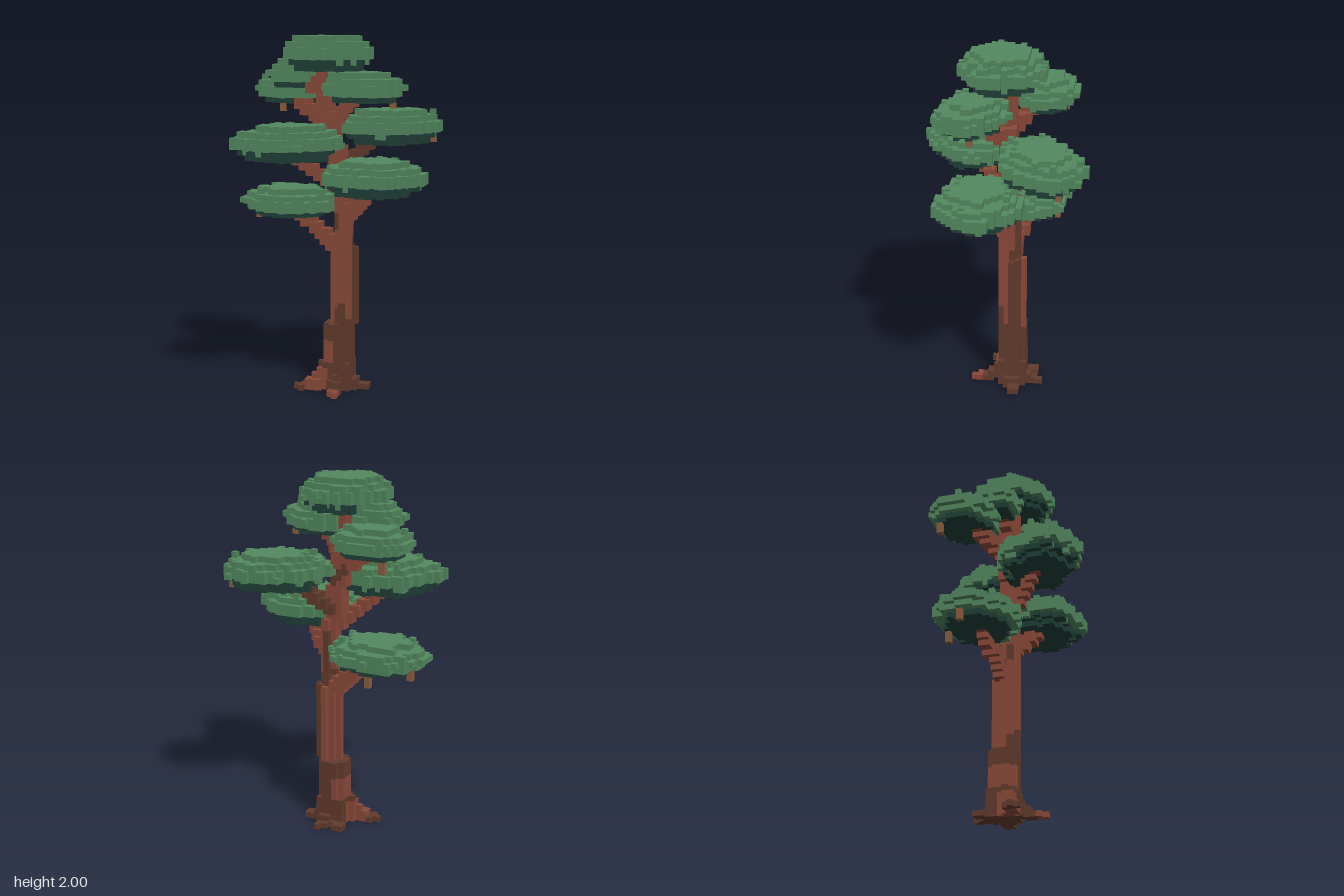
import * as THREE from 'three';

const V = 2 / 63; // size of one block
const material = (name, color) => Object.assign(new THREE.MeshStandardMaterial({ color }), { name });
const LEAF = 0, SHADE = 1, BARK = 2, DARK = 3, CONE = 4;

// Repeatable noise in 0..1 for a block position
function hash(i, j, k) {
  const s = Math.sin(i * 127.1 + j * 311.7 + k * 74.7) * 43758.5453;
  return s - Math.floor(s);
}

// Bark is dark at the foot and down one corner, with soft patches elsewhere
function barkColour(i, j, k) {
  if (j < 12) {
    const redFoot = j < 4 && i < 0 && i > -5 && k > -3;
    const redPatch = j > 4 && j < 9 && i < 1;
    return redFoot || redPatch || k > 3 ? BARK : DARK;
  }
  if (j < 15 && i <= 2 && k > -2) return DARK;
  if (j < 26 && i >= 3 && k <= -2) return DARK;
  if (j < 36 && i >= 2 && k === -3) return DARK;
  const patch = Math.sin(i * 0.9 + j * 0.45) + Math.sin(k * 1.1 - j * 0.33);
  return patch > 1.7 ? DARK : BARK;
}

export function createModel() {
  const tree = new THREE.Group();
  tree.name = 'tree';
  const materials = [
    material('leaf green', 0x53895f), material('leaf underside', 0x1f3f37),
    material('red bark', 0x8b4a3a), material('dark bark', 0x623b2c), material('cone brown', 0x8a5f40),
  ];
  const taken = new Set();
  const parts = [];
  const key = (i, j, k) => `${i},${j},${k}`;

  function part(name) {
    const cells = [];
    parts.push({ name, cells });
    return (i, j, k, colour) => {
      if (j < 0 || j > 62 || taken.has(key(i, j, k))) return;
      taken.add(key(i, j, k));
      cells.push([i, j, k, colour]);
    };
  }

  // Trunk: stacked round sections [first row, end row, centre x, centre z, radius]
  const trunk = part('trunk');
  const sections = [
    [0, 5, 1, -2, 2.9], [5, 12, 1, -2, 2.25], [12, 26, 2, -2, 2.1], [26, 38, 2, -1.5, 1.7],
    [38, 44, 1, -1, 1.45], [44, 50, 0, -1, 1.5], [50, 60, -1, -0.5, 1.7],
  ];
  for (const [from, to, cx, cz, r] of sections)
    for (let j = from; j < to; j++)
      for (let i = -4; i <= 6; i++)
        for (let k = -6; k <= 4; k++)
          if (Math.hypot(i - cx, k - cz) <= r) trunk(i, j, k, barkColour(i, j, k));

  // Roots: arms that drop away from the foot of the trunk [end x, end z, steepness]
  const roots = part('roots');
  for (const [ex, ez, steep] of [[-6, 1, 1.8], [2, 5, 3.5], [6, -3, 3.5], [2, -7, 3.5], [-2, -6, 3]])
    for (let s = 0; s <= 20; s++) {
      const t = s / 20;
      const i = Math.round(1 + (ex - 1) * t), k = Math.round(-2 + (ez + 2) * t);
      const height = Math.round(1 + 9 * Math.pow(1 - t, steep));
      for (let j = 0; j < height; j++) {
        const colour = barkColour(i, j, k);
        roots(i, j, k, colour);
        if (t < 0.95 && j < 2) {
          if (Math.abs(ex - 1) > Math.abs(ez + 2)) roots(i, j, k + 1, colour);
          else roots(i + (ex > 0 ? -1 : 1), j, k, colour);
        }
      }
    }

  // Branches: sloping limbs from the trunk to each leaf pad
  const limbs = [
    [1, 25, -2, -8, 32, -4], [3, 31, -1, 8, 37, 3], [1, 36, -1, -6, 43, 6], [1, 39, -2, 8, 46, -7],
    [-1, 47, -1, -8, 52, -5], [0, 47, 0, 6, 53, 4], [-2, 53, -1, -6, 56, -1],
  ];
  limbs.forEach(([x0, y0, z0, x1, y1, z1], n) => {
    const branch = part('branch' + (n + 1));
    for (let s = 0; s <= 24; s++) {
      const t = s / 24;
      const x = x0 + (x1 - x0) * t, y = y0 + (y1 - y0) * t, z = z0 + (z1 - z0) * t;
      for (let a = 0; a < 2; a++)
        for (let b = 0; b < 2; b++)
          for (let c = 0; c < 2; c++) {
            const i = Math.floor(x) + a, j = Math.floor(y) + b, k = Math.floor(z) + c;
            branch(i, j, k, n === 3 ? DARK : BARK);
          }
    }
  });

  // Leaf pads: [centre x, centre z, long radius, short radius, turn, bottom row, rows]
  const pads = [
    [-0.27, -0.11, 0.275, 0.225, 0.1, 31, 5], [0.265, 0.11, 0.275, 0.23, 0, 36, 6],
    [-0.175, 0.215, 0.285, 0.215, -0.55, 42, 6], [0.295, -0.22, 0.285, 0.205, -0.6, 44, 6],
    [-0.275, -0.19, 0.22, 0.185, 0.2, 51, 5], [0.215, 0.15, 0.225, 0.18, 0.4, 52, 5],
    [-0.01, 0.015, 0.24, 0.225, 0, 57, 6], [-0.215, -0.02, 0.14, 0.13, 0, 54, 5],
  ];
  const spread = { 5: [0.72, 0.92, 1, 0.9, 0.6], 6: [0.73, 0.86, 1, 0.99, 0.87, 0.6] };
  pads.forEach(([cx, cz, long, short, turn, bottom, rows], n) => {
    const leaf = part('leafPad' + (n + 1));
    const c = Math.cos(turn), s = Math.sin(turn);
    for (let row = 0; row < rows; row++)
      for (let i = -17; i <= 17; i++)
        for (let k = -15; k <= 14; k++) {
          const x = i * V - cx, z = (k + 0.5) * V - cz;
          const dx = (x * c + z * s) / long, dz = (z * c - x * s) / short;
          const wobble = 0.035 * Math.sin(Math.atan2(dz, dx) * 5 + n * 2) + 0.15 * (hash(i, n, k) - 0.5);
          const r = Math.hypot(dx, dz) - wobble;
          // the upper layer is a small cap with stray bumps around it
          const bump = row === rows - 1 && r < 0.82 && hash(i, n + 20, k) < 0.1;
          const limit = spread[rows][row] + (n === 6 && row === 5 ? 0.08 : 0);
          if (r > limit && !bump) continue;
          const shaded = row === 0 || (row === 1 && rows === 6 && hash(i, n + 40, k) < 0.8);
          leaf(i, bottom + row, k, shaded ? SHADE : LEAF);
        }
  });

  // Cones hanging below the pads: [x, z, lowest row, length]
  const cone = part('cones');
  const hanging = [
    [-15, -5, 30, 2], [-9, -9, 29, 2], [-12, -10, 49, 2], [12, 4, 51, 2], [16, -11, 44, 2],
  ];
  for (const [i, k, low, length] of hanging)
    for (let j = low; j < low + length; j++) cone(i, j, k, CONE);

  // Turn the blocks of each part into a mesh made of the open faces only
  for (const { name, cells } of parts) {
    const geometry = new THREE.BufferGeometry();
    const positions = [], normals = [], used = [];
    materials.forEach((mat, colour) => {
      const start = positions.length / 3;
      for (const [i, j, k, c] of cells) {
        if (c !== colour) continue;
        for (let axis = 0; axis < 3; axis++)
          for (const side of [1, -1]) {
            const normal = [0, 0, 0];
            normal[axis] = side;
            if (taken.has(key(i + normal[0], j + normal[1], k + normal[2]))) continue;
            const u = (axis + 1) % 3, w = (axis + 2) % 3;
            const corners = [[0, 0], [1, 0], [1, 1], [0, 1]].map(([a, b]) => {
              const p = [i - 0.5, j, k];
              p[axis] += side > 0 ? 1 : 0;
              p[u] += a;
              p[w] += b;
              return p.map((value) => value * V);
            });
            for (const q of side > 0 ? [0, 1, 2, 0, 2, 3] : [0, 2, 1, 0, 3, 2]) {
              positions.push(...corners[q]);
              normals.push(...normal);
            }
          }
      }
      const count = positions.length / 3 - start;
      if (count) {
        geometry.addGroup(start, count, used.length);
        used.push(mat);
      }
    });
    geometry.setAttribute('position', new THREE.Float32BufferAttribute(positions, 3));
    geometry.setAttribute('normal', new THREE.Float32BufferAttribute(normals, 3));
    const mesh = new THREE.Mesh(geometry, used);
    mesh.name = name;
    tree.add(mesh);
  }
  return tree;
}
